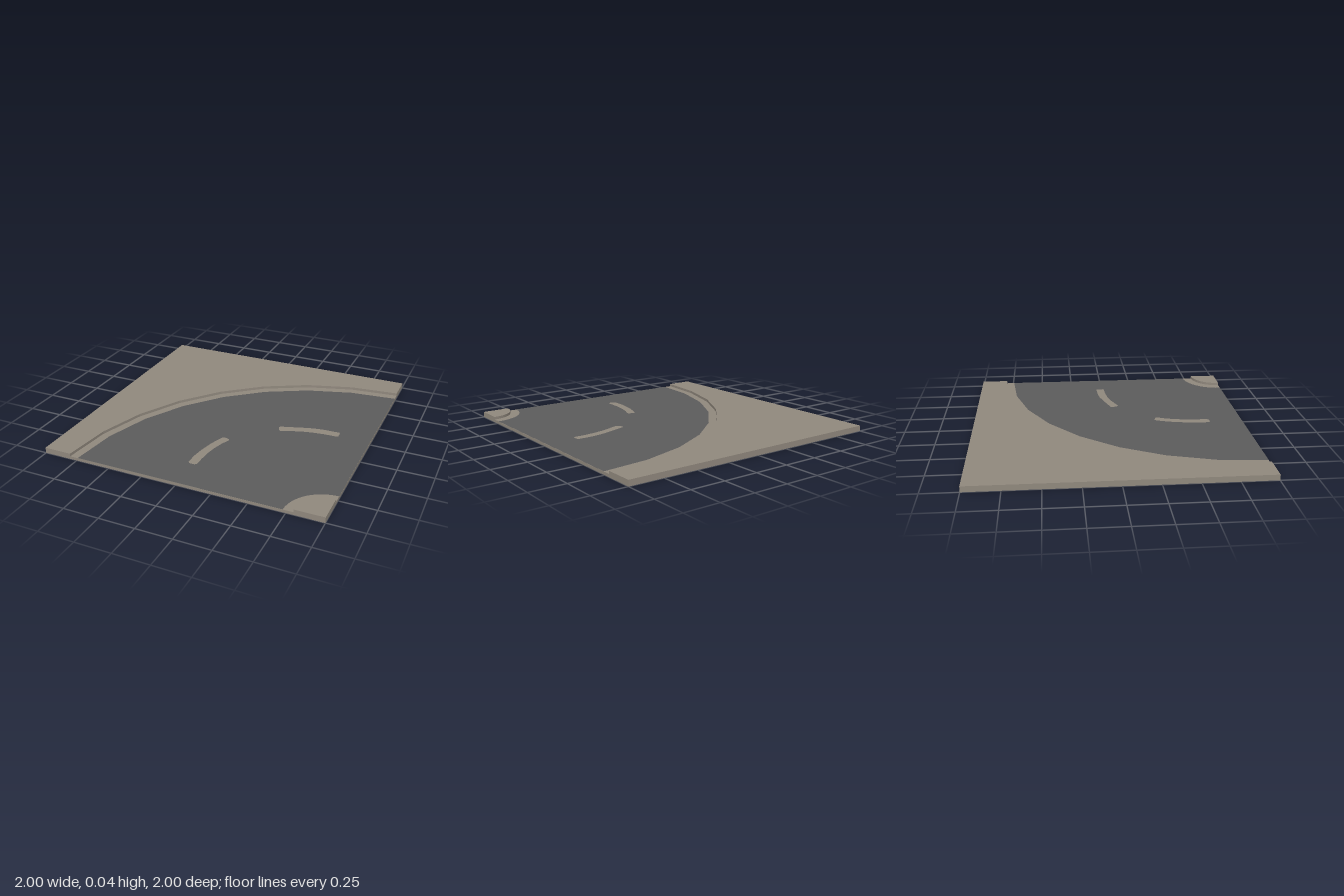
import * as THREE from 'three';

const FLOOR = 0.02; // sunken road level
const TOP = 0.04;   // kerb level

// Plan coordinates are [x, z]; shapes are drawn with y = -z and laid flat.
const P = (x, z) => new THREE.Vector2(x, -z);

// Faceted quarter arc round the corner (1, 1), from the front edge to the right edge
function arc(radius, segments) {
  const pts = [];
  for (let i = 0; i <= segments; i++) {
    const a = (i / segments) * Math.PI / 2;
    pts.push(P(1 - radius * Math.cos(a), 1 - radius * Math.sin(a)));
  }
  return pts;
}

// Bent road dash outline from its plan points
const dash = (points) => new THREE.Path(points.map(([x, z]) => P(x, z)));

export function createModel() {
  const group = new THREE.Group();
  const stone = new THREE.MeshStandardMaterial({ color: 0x90887d });
  stone.name = 'warm grey concrete';
  const asphalt = new THREE.MeshStandardMaterial({ color: 0x5c5c5c });
  asphalt.name = 'dark asphalt';

  const add = (name, geometry, material, y) => {
    const mesh = new THREE.Mesh(geometry, material);
    mesh.name = name;
    mesh.position.y = y;
    group.add(mesh);
  };
  const slab = (points) => new THREE.ExtrudeGeometry(new THREE.Shape(points),
    { depth: TOP - FLOOR, bevelEnabled: false }).rotateX(-Math.PI / 2);

  // Base slab, seen as the gutters and the dashes
  add('baseSlab', new THREE.BoxGeometry(2, FLOOR, 2), stone, FLOOR / 2);

  // Raised pavements outside and inside the bend
  add('outerPavement', slab([...arc(1.8, 8), P(1, -1), P(-1, -1), P(-1, 1)]), stone, FLOOR);
  add('innerPavement', slab([...arc(0.2, 8), P(1, 1)]), stone, FLOOR);

  // Road surface with the dashes left open
  const road = new THREE.Shape([...arc(1.74, 8), ...arc(0.27, 12).reverse()]);
  road.holes.push(
    dash([[0.34, 0.05], [0.35, 0.038], [0.41, 0.02], [0.5, -0.01], [0.58, -0.032], [0.66, -0.043],
      [0.765, -0.045], [0.773, -0.035], [0.773, 0.01], [0.765, 0.017], [0.67, 0.02], [0.59, 0.03],
      [0.5, 0.05], [0.43, 0.077], [0.37, 0.1], [0.355, 0.09]]),
    dash([[0.045, 0.345], [0.085, 0.358], [0.09, 0.375], [0.065, 0.43], [0.043, 0.51], [0.03, 0.59],
      [0.026, 0.67], [0.026, 0.74], [0.015, 0.755], [-0.025, 0.755], [-0.038, 0.74], [-0.038, 0.65],
      [-0.028, 0.57], [-0.01, 0.48], [0.01, 0.41], [0.035, 0.35]]),
  );
  add('roadSurface', new THREE.ShapeGeometry(road).rotateX(-Math.PI / 2), asphalt, FLOOR + 0.001);

  return group;
}
